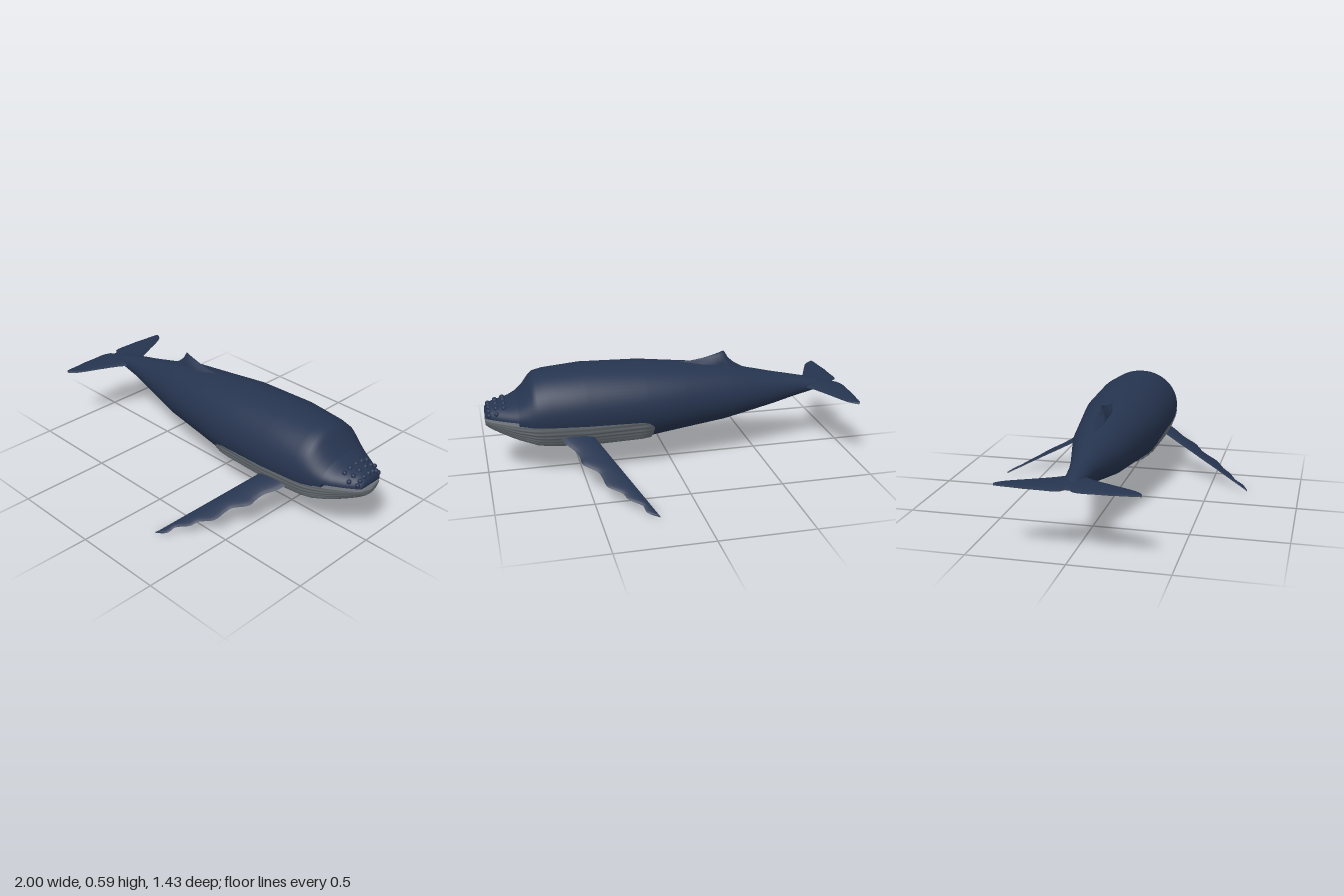
import * as THREE from 'three';

const navy = new THREE.MeshStandardMaterial({ color: 0x26344f, side: THREE.DoubleSide });
navy.name = 'navy skin';
const grey = new THREE.MeshStandardMaterial({ color: 0x6b7278, side: THREE.DoubleSide });
grey.name = 'pale grey belly';

// Skin a surface over rings of [x, y, z] points
function loft(rings, closed = false) {
  const n = rings[0].length, index = [];
  for (let i = 0; i < rings.length - 1; i++) {
    for (let j = 0; j < (closed ? n : n - 1); j++) {
      const k = (j + 1) % n;
      const a = i * n + j, b = a + n, c = i * n + k, d = c + n;
      index.push(a, b, c, b, d, c);
    }
  }
  const g = new THREE.BufferGeometry();
  g.setAttribute('position', new THREE.Float32BufferAttribute(rings.flat(2), 3));
  g.setIndex(index);
  g.computeVertexNormals();
  return g;
}

// Linear lookup in a table of rows [key, ...values]
function lookup(table, x) {
  let i = 0;
  while (i < table.length - 2 && x > table[i + 1][0]) i++;
  const p = table[i], q = table[i + 1];
  const t = THREE.MathUtils.clamp((x - p[0]) / (q[0] - p[0]), 0, 1);
  return p.slice(1).map((v, k) => v + (q[k + 1] - v) * t);
}

// Body sections: x, top, bottom, half width, height of the widest line
const BODY = [
  [-0.92, 0.367, 0.353, 0.01, 0.36], [-0.87, 0.392, 0.333, 0.04, 0.36],
  [-0.8, 0.405, 0.317, 0.052, 0.36], [-0.72, 0.424, 0.298, 0.06, 0.36],
  [-0.6, 0.449, 0.267, 0.085, 0.36], [-0.45, 0.484, 0.237, 0.123, 0.36],
  [-0.3, 0.525, 0.207, 0.16, 0.365], [-0.06, 0.55, 0.178, 0.195, 0.365],
  [0.16, 0.574, 0.15, 0.228, 0.365], [0.48, 0.583, 0.143, 0.236, 0.365],
  [0.68, 0.567, 0.16, 0.224, 0.358], [0.735, 0.555, 0.17, 0.215, 0.353],
  [0.76, 0.53, 0.18, 0.206, 0.35], [0.79, 0.485, 0.191, 0.195, 0.348],
  [0.83, 0.445, 0.205, 0.178, 0.345], [0.87, 0.423, 0.222, 0.158, 0.345],
  [0.93, 0.412, 0.25, 0.122, 0.345], [0.97, 0.404, 0.271, 0.095, 0.345],
  [0.99, 0.39, 0.285, 0.078, 0.345], [0.998, 0.378, 0.293, 0.068, 0.345],
];
const MOUTH = 0.83, LIP = 0.345;

// Point on the body at station x, angle a, pushed out by grow
function skin(x, a, grow = 0) {
  const [top, bottom, w, mid] = lookup(BODY, x);
  const s = Math.sin(a), h = s > 0 ? top - mid : mid - bottom;
  return [x, mid + (h + grow) * s, (w + grow) * Math.cos(a)];
}

function makeBody() {
  const xs = BODY.map((r) => r[0]);
  xs.splice(xs.indexOf(MOUTH) + 1, 0, MOUTH + 0.001);
  const rings = xs.map((x) => Array.from({ length: 64 }, (_, j) => {
    const p = skin(x, (j / 64) * Math.PI * 2);
    if (x > MOUTH) p[1] = Math.max(p[1], LIP); // flat palate over the mouth
    return p;
  }));
  rings.unshift(rings[0].map(() => [-0.925, 0.36, 0]));
  rings.push(rings[0].map(() => [1, 0.358, 0]));
  return loft(rings, true);
}

// Pleated throat and lower jaw, with rounded rear corners
function makeJaw() {
  const xs = [0.12, 0.123, 0.135, 0.15, 0.17, 0.2, 0.3,
    ...BODY.map((r) => r[0]).filter((x) => x > 0.3)];
  const rim = (x) => 0.308 + 0.024 * (x - 0.2) / 0.8
    - 0.04 * Math.max(0, (0.2 - x) / 0.08) ** 2.5;
  const N = 176;
  const rings = xs.map((x, i) => {
    const [, bottom, , mid] = lookup(BODY, x);
    const e = Math.asin(Math.min(1, (mid - rim(x)) / (mid - bottom)));
    const size = i === 0 ? 0 : Math.min(1, (1.03 - x) / 0.25);
    return Array.from({ length: N + 1 }, (_, j) => {
      const a = Math.PI + e + (j / N) * (Math.PI - 2 * e);
      return skin(x, a, 0.003 + size * 0.0045 * (1 + Math.cos(44 * a)) * -Math.sin(a));
    });
  });
  const lid = rings.filter((r) => r[0][0] > 0.78).map((r) => [r[N], r[0]]);
  rings.push(rings[0].map(() => [1, 0.312, 0]));
  return [loft(rings), loft(lid)];
}

// Blade with a dark upper and pale lower skin; stations: {z, y, lead, trail, thick}
function makeBlade(name, stations, side) {
  const group = new THREE.Group();
  group.name = name;
  const M = 12;
  for (const up of [1, -1]) {
    const rings = stations.map((s) => Array.from({ length: M + 1 }, (_, j) => {
      const u = up > 0 ? j / M : 1 - j / M;
      const bulge = s.thick * Math.sqrt(Math.max(0, Math.sin(Math.PI * u)));
      return [s.trail + (s.lead - s.trail) * u, s.y + up * bulge, side * s.z];
    }));
    if (side < 0) rings.reverse();
    const mesh = new THREE.Mesh(loft(rings), up > 0 ? navy : grey);
    mesh.name = name + (up > 0 ? 'Top' : 'Underside');
    group.add(mesh);
  }
  return group;
}

// Flipper with a knobbly leading edge, as [lead x, z]
const flipperEdge = new THREE.SplineCurve([
  [0.64, 0.16], [0.605, 0.23], [0.56, 0.285], [0.545, 0.325], [0.535, 0.37],
  [0.47, 0.42], [0.452, 0.46], [0.435, 0.515], [0.37, 0.56], [0.345, 0.6],
  [0.285, 0.64], [0.268, 0.685], [0.212, 0.714],
].map((p) => new THREE.Vector2(...p)));
const flipper = flipperEdge.getPoints(60).map(({ x, y: z }) => {
  const t = (z - 0.16) / 0.554;
  return { z, y: 0.262 - 0.254 * t, lead: x, trail: 0.468 - 0.258 * t, thick: 0.016 - 0.011 * t };
});

// Fluke outline: z, leading x, trailing x
const FLUKE = [
  [0, -0.75, -0.965], [0.015, -0.755, -0.967], [0.03, -0.765, -0.99], [0.05, -0.78, -0.997],
  [0.08, -0.803, -1], [0.13, -0.83, -0.997], [0.2, -0.863, -0.997], [0.27, -0.895, -0.99],
  [0.31, -0.915, -0.988], [0.335, -0.935, -0.984], [0.347, -0.952, -0.98], [0.352, -0.968, -0.974],
];
const fluke = FLUKE.map(([z, lead, trail]) => (
  { z, y: 0.36, lead, trail, thick: 0.019 - 0.036 * z }));

// Low hooked fin: x, ridge height, half width
function makeDorsalFin() {
  const keys = [
    [-0.46, 0.478, 0.01], [-0.41, 0.502, 0.025], [-0.37, 0.525, 0.032], [-0.335, 0.555, 0.034],
    [-0.318, 0.585, 0.03], [-0.308, 0.597, 0.026], [-0.285, 0.588, 0.032], [-0.24, 0.575, 0.036],
    [-0.19, 0.563, 0.036], [-0.12, 0.553, 0.03], [-0.04, 0.549, 0.01],
  ];
  return loft(keys.map(([x, top, w]) => Array.from({ length: 17 }, (_, j) => {
    const a = (j / 16) * Math.PI, base = lookup(BODY, x)[0] - 0.02;
    return [x, base + (top - base) * Math.sin(a), w * Math.cos(a) ** 3];
  })));
}

export function createModel() {
  const whale = new THREE.Group();
  whale.name = 'whale';
  const add = (name, geometry, material) => {
    const mesh = new THREE.Mesh(geometry, material);
    mesh.name = name;
    whale.add(mesh);
    return mesh;
  };

  add('body', makeBody(), navy);
  const [throat, mouthFloor] = makeJaw();
  add('pleatedThroat', throat, grey);
  add('mouthFloor', mouthFloor, grey);
  add('dorsalFin', makeDorsalFin(), navy);

  // Knobs over the snout
  const knob = new THREE.SphereGeometry(0.013, 12, 8);
  for (const [x, count, from] of [[0.9, 5, 0.9], [0.94, 6, 0.5], [0.978, 7, 0.35]]) {
    for (let i = 0; i < count; i++) {
      const a = from + (i / (count - 1)) * (Math.PI - 2 * from);
      add('snoutKnob', knob, navy).position.set(...skin(x, a, -0.002));
    }
  }

  for (const side of [1, -1]) {
    const label = side > 0 ? 'front' : 'rear';
    whale.add(makeBlade(label + 'SideFlipper', flipper, side));
    whale.add(makeBlade(label + 'SideFluke', fluke, side));
  }
  return whale;
}
